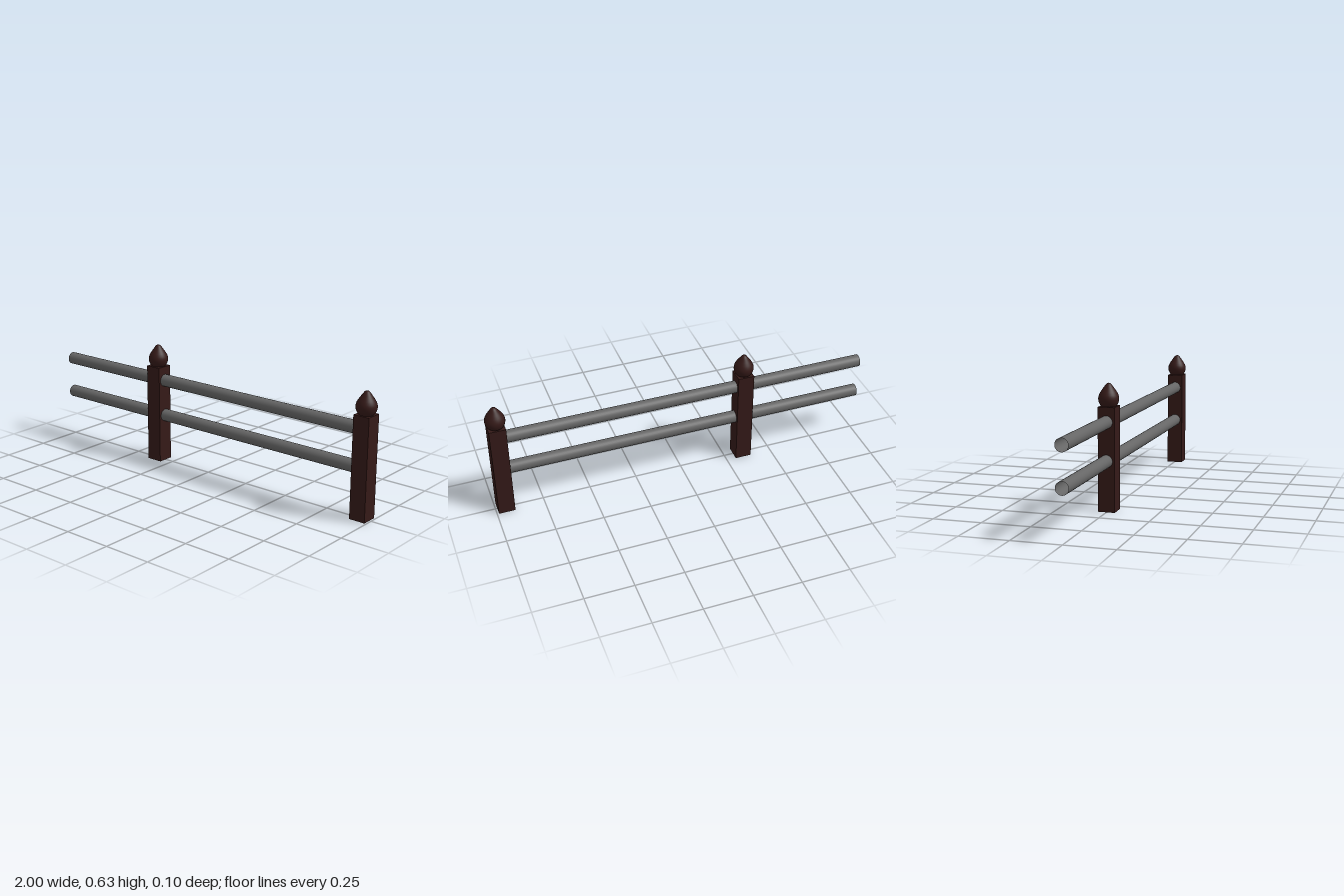
import * as THREE from 'three';

export function createModel() {
  const fence = new THREE.Group();
  fence.name = 'fence';
  const wood = new THREE.MeshStandardMaterial({ color: 0x351a18 });
  const metal = new THREE.MeshStandardMaterial({ color: 0x666666, side: THREE.DoubleSide });

  const add = (parent, name, geometry, material, x, y) => {
    const mesh = new THREE.Mesh(geometry, material);
    mesh.name = name;
    mesh.position.set(x, y, 0);
    parent.add(mesh);
  };

  // Square posts, each topped with a pointed bulb
  const postHeight = 0.518;
  const postGeometry = new THREE.BoxGeometry(0.085, postHeight, 0.085);
  const bulbProfile = [
    [0, -0.004], [0.034, -0.002], [0.042, 0.008], [0.048, 0.02], [0.051, 0.034],
    [0.0505, 0.045], [0.047, 0.057], [0.04, 0.07], [0.031, 0.083],
    [0.021, 0.097], [0.013, 0.108], [0.007, 0.112], [0, 0.114],
  ].map(([r, y]) => new THREE.Vector2(r, y));
  const bulbGeometry = new THREE.LatheGeometry(bulbProfile, 32);

  [['rightPost', -0.343], ['leftPost', 0.948]].forEach(([name, x]) => {
    const post = new THREE.Group();
    post.name = name;
    post.position.x = x;
    add(post, 'postShaft', postGeometry, wood, 0, postHeight / 2);
    add(post, 'postFinial', bulbGeometry, wood, 0, postHeight);
    fence.add(post);
  });

  // Hollow round rails running from the free end into the left post
  const start = -1, end = 0.91;
  const railGeometry = new THREE.CylinderGeometry(0.032, 0.032, end - start, 32, 1, true);
  railGeometry.rotateZ(Math.PI / 2);
  [['lowerRail', 0.253], ['upperRail', 0.445]].forEach(([name, y]) =>
    add(fence, name, railGeometry, metal, (start + end) / 2, y));

  return fence;
}
